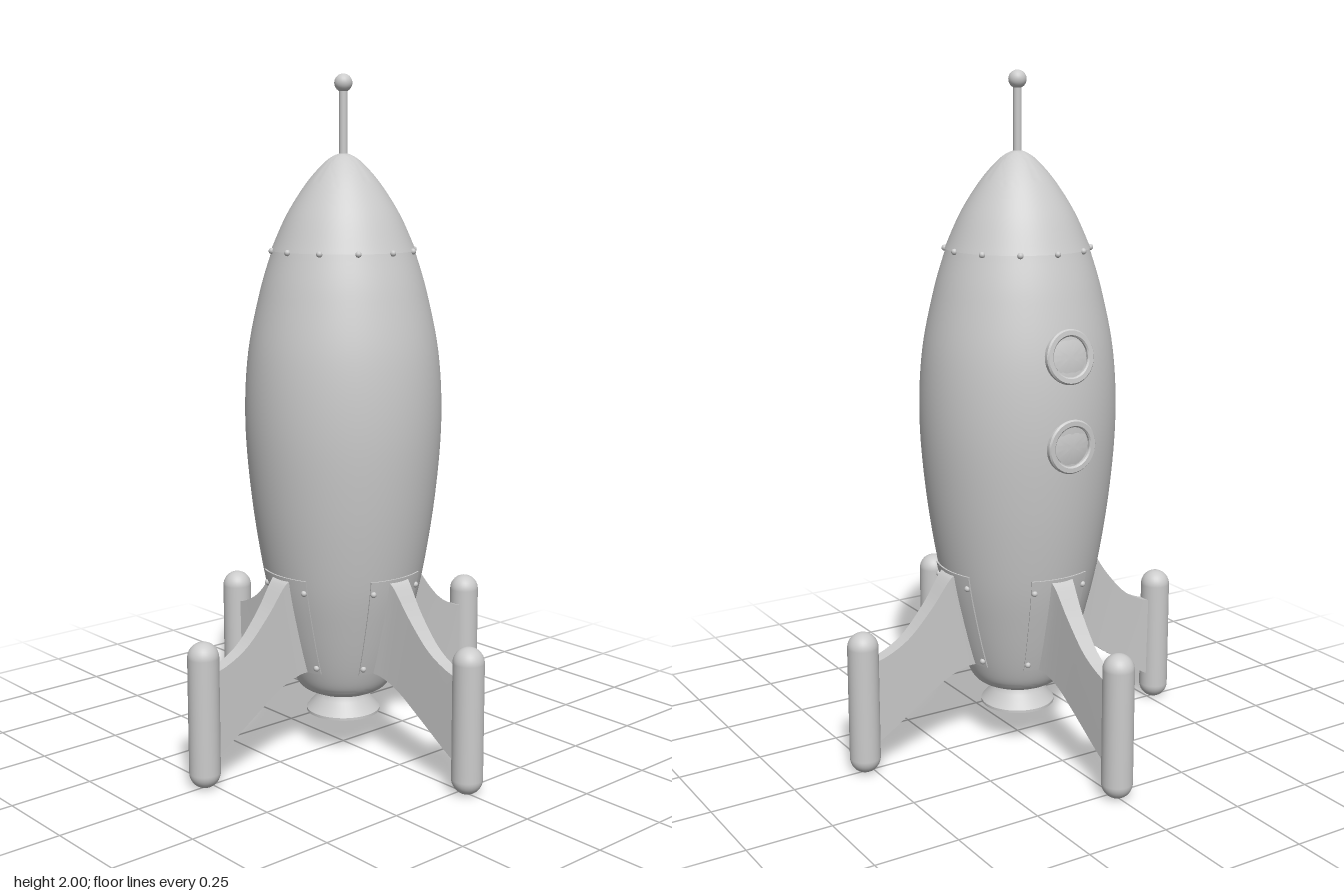
import * as THREE from 'three';
import { toCreasedNormals } from 'three/addons/utils/BufferGeometryUtils.js';

const V2 = (x, y) => new THREE.Vector2(x, y);
const spline = (pts, n) => new THREE.SplineCurve(pts.map(p => V2(...p))).getPoints(n);

// Hull outline as [radius, height], split at the nose seam
const SEAM = 1.5;
const lower = spline([[0.1, 0.178], [0.135, 0.2], [0.163, 0.26], [0.203, 0.4], [0.24, 0.56],
  [0.273, 0.78], [0.289, 1.0], [0.279, 1.2], [0.243, 1.38], [0.207, SEAM]], 60);
const upper = spline([[0.21, SEAM], [0.165, 1.6], [0.108, 1.69], [0.055, 1.75], [0.02, 1.773], [0, 1.776]], 30);

function hullRadius(y) {
  for (let i = 1; i < lower.length; i++) {
    const a = lower[i - 1], b = lower[i];
    if (y <= b.y) return a.x + (b.x - a.x) * Math.max(0, (y - a.y) / (b.y - a.y));
  }
  return 0.207;
}

// Surface through a grid of points; rows may close into a ring
function skin(rows, closed) {
  const n = rows[0].length, pos = rows.flat(2), idx = [];
  for (let i = 0; i < rows.length - 1; i++) {
    for (let j = 0; j < (closed ? n : n - 1); j++) {
      const k = (j + 1) % n, a = i * n + j, b = a + n, c = (i + 1) * n + k, d = i * n + k;
      idx.push(a, b, c, a, c, d);
    }
  }
  const g = new THREE.BufferGeometry();
  g.setAttribute('position', new THREE.Float32BufferAttribute(pos, 3));
  g.setIndex(idx);
  return toCreasedNormals(g, 0.6);
}

const lathe = (pts, seg = 64, crease = 0.6) => toCreasedNormals(new THREE.LatheGeometry(pts, seg), crease);

// Fin along +x: swept between its upper and lower edge, flaring where it meets the hull
function finGeometry() {
  const top = new THREE.SplineCurve([[0.215, 0.568], [0.25, 0.552], [0.31, 0.47], [0.385, 0.39], [0.46, 0.348], [0.52, 0.335]].map(p => V2(...p)));
  const bot = new THREE.SplineCurve([[0.14, 0.268], [0.19, 0.265], [0.26, 0.238], [0.35, 0.178], [0.45, 0.11], [0.52, 0.07]].map(p => V2(...p)));
  const NU = 36, NV = 10, rows = [];
  for (let i = 0; i <= NU; i++) {
    const u = (i / NU) ** 1.5, t = top.getPoint(u), b = bot.getPoint(u);
    const half = 0.019 + 0.022 * (1 - u) ** 2 + 0.04 * Math.exp(-u * 18);
    const side = [];
    for (let j = 0; j <= NV; j++) {
      const p = b.clone().lerp(t, j / NV);
      // keep the root following the hull's curve
      p.x += (hullRadius(p.y) - 0.025 - (b.x + (t.x - b.x) * j / NV)) * Math.max(0, 1 - u * 6);
      side.push([p.x, p.y, half * (0.8 + 0.2 * j / NV)]);
    }
    rows.push([...side, ...side.slice().reverse().map(([x, y, z]) => [x, y, -z])]);
  }
  return skin(rows, true);
}

// Thin mounting plate wrapped on the hull around the fin root
function plateGeometry() {
  const rows = [];
  for (let i = 0; i <= 12; i++) {
    const y = 0.268 + 0.3 * i / 12, half = 0.075 + 0.02 * i / 12, r = hullRadius(y);
    const end = i === 0 || i === 12;
    const row = [];
    for (let j = 0; j <= 12; j++) {
      const a = (1 - j / 6) * half / r, lift = r + 0.005;
      if (j === 0) row.push([Math.cos(a) * (r - 0.01), y, Math.sin(a) * (r - 0.01)]);
      row.push([Math.cos(a) * lift, y, Math.sin(a) * lift]);
      if (j === 12) row.push([Math.cos(a) * (r - 0.01), y, Math.sin(a) * (r - 0.01)]);
    }
    const rim = row.map(([x, yy, z]) => [x * 0.94, yy, z * 0.94]);
    if (end && i === 0) rows.push(rim);
    rows.push(row);
    if (end && i === 12) rows.push(rim);
  }
  return skin(rows, false);
}

export function createModel() {
  const model = new THREE.Group();
  model.name = 'rocket';
  const grey = new THREE.MeshStandardMaterial({ color: 0xcccccc });
  const sheet = new THREE.MeshStandardMaterial({ color: 0xcccccc, side: THREE.DoubleSide });
  const add = (parent, name, geo, x = 0, y = 0, z = 0, mat = grey) => {
    const m = new THREE.Mesh(geo, mat);
    m.name = name;
    m.position.set(x, y, z);
    parent.add(m);
    return m;
  };

  // Hull and nose cone
  add(model, 'hull', lathe([V2(0, 0.178), ...lower]));
  add(model, 'noseCone', lathe([V2(0.2, SEAM), ...upper]));

  // Exhaust nozzle, hollow below
  add(model, 'nozzle', lathe([V2(0, 0.17), V2(0.058, 0.17), V2(0.07, 0.15), V2(0.101, 0.108), V2(0.111, 0.108),
    V2(0.111, 0.116), V2(0.08, 0.152), V2(0.068, 0.175), V2(0.066, 0.2)], 48));

  // Antenna
  add(model, 'antennaRod', new THREE.CylinderGeometry(0.012, 0.012, 0.21, 20), 0, 1.865);
  add(model, 'antennaBall', new THREE.SphereGeometry(0.026, 24, 16), 0, 1.974);

  // Rivets round the nose seam
  const rivet = new THREE.SphereGeometry(0.009, 12, 8);
  for (let i = 0; i < 12; i++) {
    const a = i * Math.PI / 6;
    add(model, 'noseRivet', rivet, Math.cos(a) * 0.21, SEAM, Math.sin(a) * 0.21);
  }

  // Four fins, each with mounting plate, rivets and landing pod
  const finGeo = finGeometry(), plateGeo = plateGeometry();
  const podGeo = new THREE.CapsuleGeometry(0.045, 0.338, 10, 28);
  for (let i = 0; i < 4; i++) {
    const fin = new THREE.Group();
    fin.name = 'finAssembly';
    fin.rotation.y = i * Math.PI / 2;
    add(fin, 'fin', finGeo);
    add(fin, 'finPlate', plateGeo, 0, 0, 0, sheet);
    add(fin, 'landingPod', podGeo, 0.524, 0.216);
    for (const s of [-1, 1]) {
      for (const [y, z] of [[0.53, 0.083], [0.288, 0.067]]) {
        const r = hullRadius(y) + 0.005;
        add(fin, 'finRivet', rivet, Math.sqrt(r * r - z * z), y, s * z);
      }
    }
    model.add(fin);
  }

  // Two portholes on the back, tilted to the hull
  const bezel = lathe([V2(0.078, -0.03), V2(0.078, 0.001), V2(0.074, 0.006), V2(0.061, 0.006), V2(0.057, 0.002), V2(0.057, -0.03)], 48);
  const glass = lathe([V2(0.058, -0.02), V2(0.054, -0.003), V2(0.04, 0), V2(0.02, 0.002), V2(0, 0.003)], 48);
  for (const [y, tilt] of [[1.222, 0.14], [0.968, -0.01]]) {
    const port = new THREE.Group();
    port.name = 'porthole';
    port.position.set(0, y, -hullRadius(y));
    port.rotation.x = -Math.PI / 2 + tilt;
    add(port, 'portholeRim', bezel);
    add(port, 'portholeGlass', glass);
    model.add(port);
  }
  return model;
}
